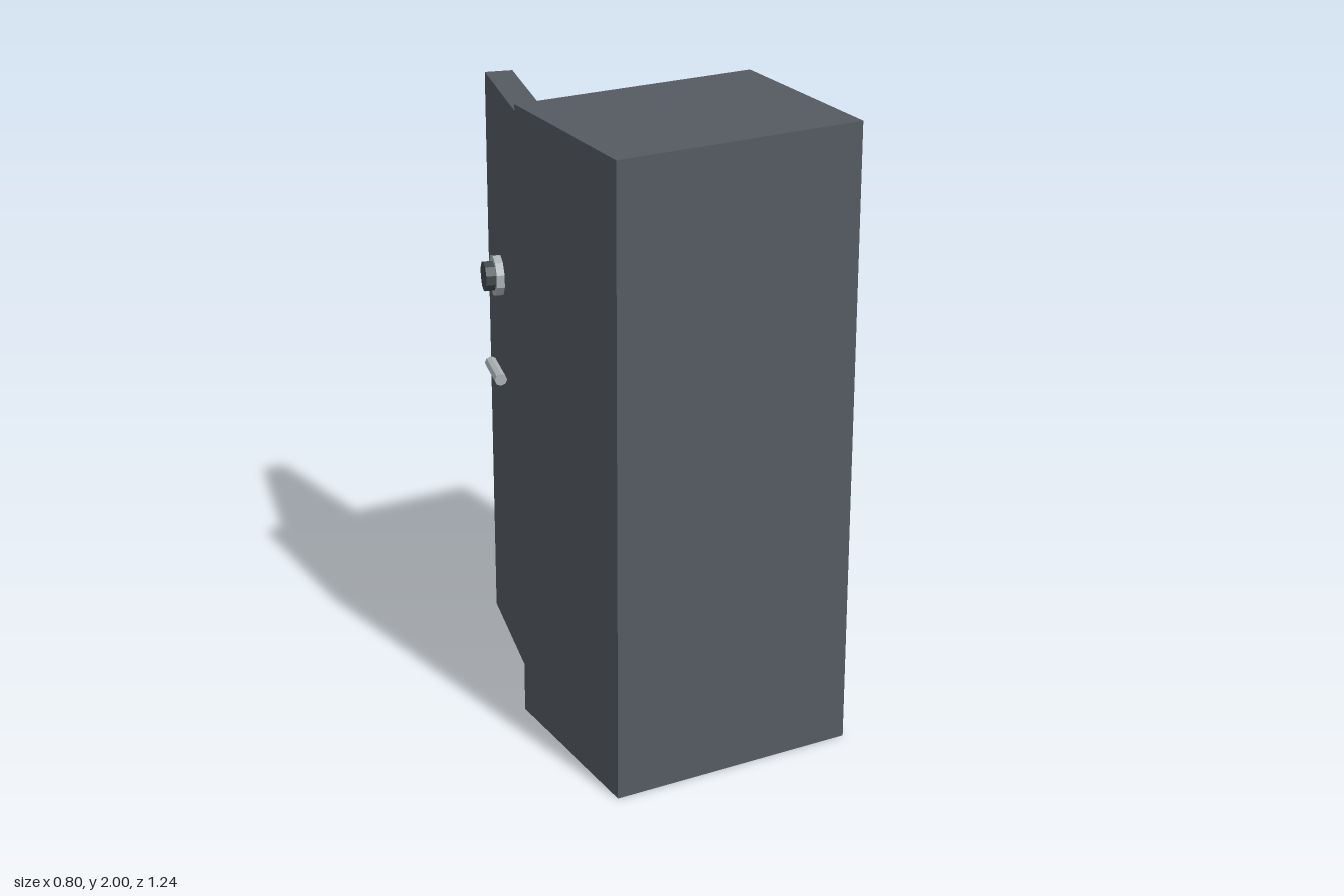
import * as THREE from 'three';

const WALL = 0.07, WIDTH = 0.8, HEIGHT = 2, BACK = -0.01, FRONT = 0.62;

function rect(target, x0, y0, x1, y1) {
  target.moveTo(x0, y0);
  target.lineTo(x1, y0);
  target.lineTo(x1, y1);
  target.lineTo(x0, y1);
  target.closePath();
  return target;
}

export function createModel() {
  const model = new THREE.Group();
  model.name = 'safe';

  const material = (name, color) => {
    const m = new THREE.MeshStandardMaterial({ color, flatShading: true });
    m.name = name;
    return m;
  };
  const body = material('slateGrey', 0x545b61);
  const steel = material('brightSteel', 0xaab2b5);
  const dark = material('darkGrey', 0x41474b);

  const add = (parent, name, geometry, mat, x, y, z) => {
    const mesh = new THREE.Mesh(geometry, mat);
    mesh.name = name;
    mesh.position.set(x, y, z);
    parent.add(mesh);
    return mesh;
  };

  // Cabinet: a rectangular tube, closed on the far side by a panel
  const outline = rect(new THREE.Shape(), -WIDTH / 2, 0, WIDTH / 2, HEIGHT);
  outline.holes.push(rect(new THREE.Path(), -WIDTH / 2 + WALL, WALL, WIDTH / 2 - WALL, HEIGHT - WALL));
  const depth = FRONT - BACK;
  add(model, 'cabinetWalls', new THREE.ExtrudeGeometry(outline, { depth, bevelEnabled: false }), body, 0, 0, BACK);
  add(model, 'cabinetPanel', new THREE.BoxGeometry(WIDTH - 2 * WALL, HEIGHT - 2 * WALL, WALL), body,
    0, HEIGHT / 2, FRONT - WALL / 2);

  // Shelf, set back to clear the closed door
  const shelfFront = 0.08, shelfBack = FRONT - WALL;
  add(model, 'shelf', new THREE.BoxGeometry(WIDTH - 2 * WALL, 0.05, shelfBack - shelfFront), body,
    0, 0.445, (shelfFront + shelfBack) / 2);

  // Door group swings about its hinge; local x runs along the door, -z is its outer face
  const door = new THREE.Group();
  door.name = 'door';
  door.position.set(-WIDTH / 2 + WALL, 0, 0.035);
  door.rotation.y = THREE.MathUtils.degToRad(75.7);
  model.add(door);

  const length = 0.648, thick = 0.088, face = -thick / 2;
  add(door, 'doorPanel', new THREE.BoxGeometry(length, HEIGHT - 2 * WALL, thick), body, length / 2, HEIGHT / 2, 0);

  // Locking bolts in the free edge
  for (const y of [0.49, 0.99, 1.47]) {
    const bolt = add(door, 'lockingBolt', new THREE.CylinderGeometry(0.025, 0.025, 0.06, 8), steel, length - 0.006, y, 0);
    bolt.rotation.z = Math.PI / 2;
  }

  // Combination dial: steel ring with a dark knob
  const ring = add(door, 'dialRing', new THREE.CylinderGeometry(0.066, 0.066, 0.025, 10), steel, 0.458, 1.32, face - 0.0125);
  const knob = add(door, 'dialKnob', new THREE.CylinderGeometry(0.049, 0.049, 0.055, 10), dark, 0.458, 1.32, face - 0.0275);
  ring.rotation.x = knob.rotation.x = -Math.PI / 2;

  // Horizontal pull handle
  const handle = add(door, 'handle', new THREE.CylinderGeometry(0.02, 0.02, 0.16, 8), steel, 0.448, 1.0, face - 0.024);
  handle.rotation.z = Math.PI / 2;

  return model;
}
